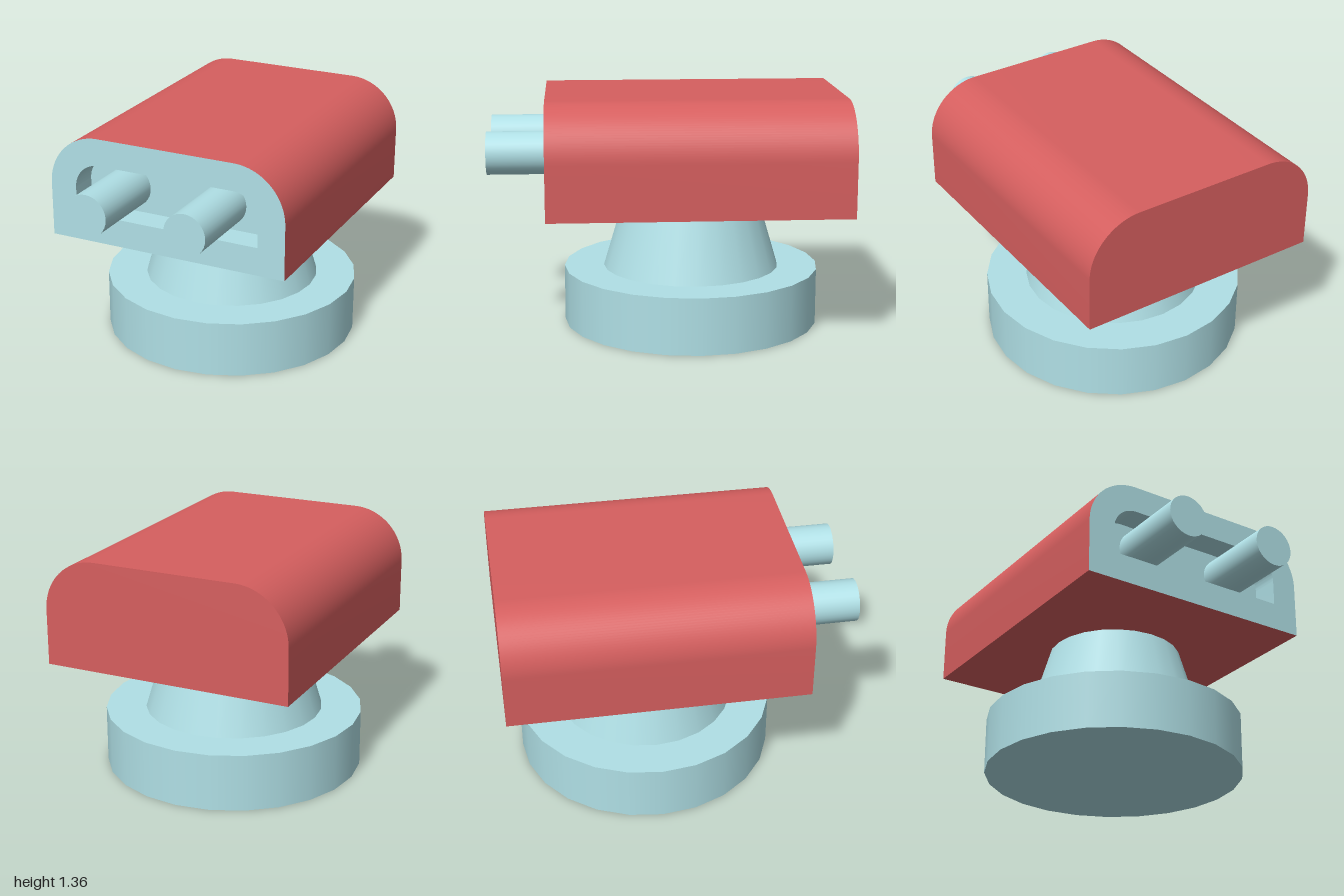
import * as THREE from 'three';
import { toCreasedNormals } from 'three/addons/utils/BufferGeometryUtils.js';

const BLUE = new THREE.MeshStandardMaterial({ color: 0xb0e0e6 });
const RED = new THREE.MeshStandardMaterial({ color: 0xd65f5f });
const BACK = -1, FRONT = 0.675, RECESS = 0.515;

// Flat-bottomed outline with rounded top corners, counter-clockwise
function outline(w, y0, y1, r, Type = THREE.Shape) {
  const s = new Type();
  s.moveTo(-w, y0);
  s.lineTo(w, y0);
  s.lineTo(w, y1 - r);
  s.absarc(w - r, y1 - r, r, 0, Math.PI / 2, false);
  s.lineTo(-w + r, y1);
  s.absarc(-w + r, y1 - r, r, Math.PI / 2, Math.PI, false);
  s.lineTo(-w, y0);
  return s;
}

// Open wall swept along z from an outline; inward flips it to face the inside
function wall(shape, z0, z1, inward = false) {
  const pts = shape.getPoints(16);
  const pos = [];
  for (let i = 0; i < pts.length - 1; i++) {
    let a = pts[i], b = pts[i + 1];
    if (a.distanceTo(b) < 1e-6) continue;
    if (inward) [a, b] = [b, a];
    pos.push(a.x, a.y, z0, b.x, b.y, z0, b.x, b.y, z1);
    pos.push(a.x, a.y, z0, b.x, b.y, z1, a.x, a.y, z1);
  }
  const g = new THREE.BufferGeometry();
  g.setAttribute('position', new THREE.Float32BufferAttribute(pos, 3));
  return toCreasedNormals(g, 0.5);
}

export function createModel() {
  const model = new THREE.Group();
  const add = (name, geo, mat, x = 0, y = 0, z = 0) => {
    const m = new THREE.Mesh(geo, mat);
    m.name = name;
    m.position.set(x, y, z);
    model.add(m);
    return m;
  };

  // Round foot and tapered neck
  add('base', new THREE.CylinderGeometry(0.74, 0.74, 0.325, 24), BLUE, 0, 0.1625, -0.16);
  add('neck', new THREE.CylinderGeometry(0.385, 0.51, 0.42, 24), BLUE, 0, 0.535, -0.16);

  // Red casing: side walls and back
  const outer = outline(0.707, 0.745, 1.355, 0.3);
  add('casing', wall(outer, BACK, FRONT), RED);
  add('casingBack', new THREE.ShapeGeometry(outer, 16), RED, 0, 0, BACK).rotation.y = Math.PI;

  // Front rim with a shallow recess
  const inner = outline(0.55, 0.905, 1.2, 0.147);
  const rim = outline(0.707, 0.745, 1.355, 0.3);
  rim.holes.push(outline(0.55, 0.905, 1.2, 0.147, THREE.Path));
  add('frontRim', new THREE.ShapeGeometry(rim, 16), BLUE, 0, 0, FRONT);
  add('recessWall', wall(inner, RECESS, FRONT, true), BLUE);
  add('recessBack', new THREE.ShapeGeometry(inner, 16), BLUE, 0, 0, RECESS);

  // Twin barrels
  const barrel = new THREE.CylinderGeometry(0.12, 0.12, 1 - RECESS, 32).rotateX(Math.PI / 2);
  for (const [name, side] of [['leftBarrel', 1], ['rightBarrel', -1]])
    add(name, barrel, BLUE, side * 0.29, 1.052, (1 + RECESS) / 2);

  return model;
}
